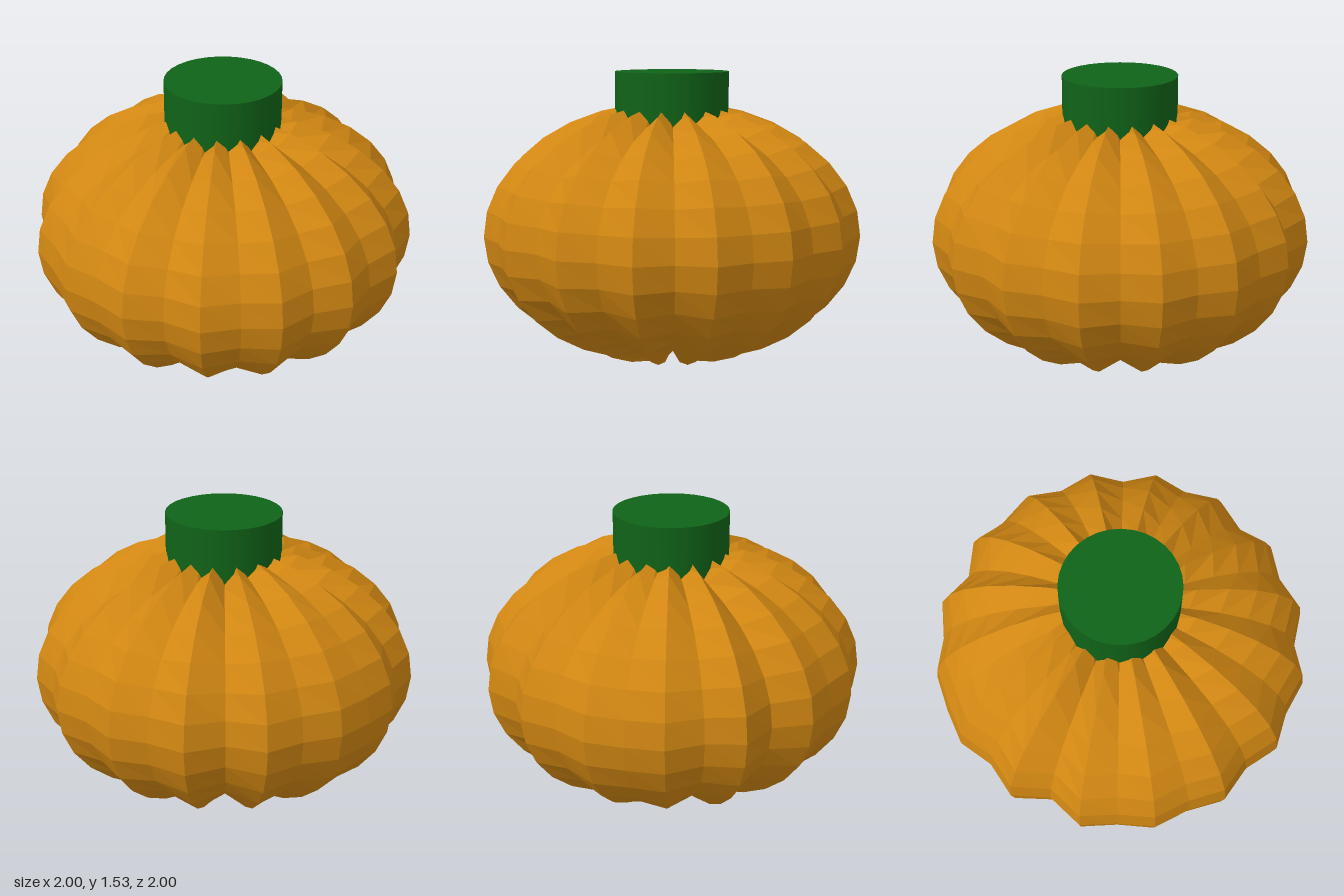
import * as THREE from 'three';

const COLUMNS = 32, ROWS = 16;
const CENTRE_Y = 0.69, HALF_HEIGHT = 0.69, PIT_Y = 0.35;

// Groove depth as a radius factor, one per groove, going from +x towards +z
const GROOVES = [0.96, 0.94, 0.95, 0.94, 0.96, 0.945, 0.965, 0.97,
  0.91, 0.945, 0.99, 0.96, 0.92, 0.96, 0.955, 0.95];

// Flattened sphere whose every second column is pulled in to form ribs
function ribbedBody() {
  const geometry = new THREE.SphereGeometry(1, COLUMNS, ROWS);
  const pos = geometry.attributes.position;
  for (let i = 0; i < pos.count; i++) {
    const column = (COLUMNS * 1.5 - (i % (COLUMNS + 1))) % COLUMNS;
    const row = Math.floor(i / (COLUMNS + 1));
    const y = pos.getY(i);
    if (row === 0 || row === ROWS) {
      // Both poles sink into a pit
      pos.setXYZ(i, 0, Math.sign(y) * (CENTRE_Y - PIT_Y) + CENTRE_Y, 0);
      continue;
    }
    // Grooves deepen a little towards the poles
    const k = column % 2 ? GROOVES[(column - 1) / 2] - 0.05 * y * y : 1;
    pos.setXYZ(i, pos.getX(i) * k, CENTRE_Y + y * HALF_HEIGHT * k, pos.getZ(i) * k);
  }
  geometry.computeVertexNormals();
  return geometry;
}

export function createModel() {
  const model = new THREE.Group();
  model.name = 'pumpkin';

  const body = new THREE.Mesh(
    ribbedBody(),
    new THREE.MeshStandardMaterial({ color: 0xd08612, flatShading: true })
  );
  body.name = 'ribbedBody';

  // Short round stem sunk into the top
  const stemBottom = 1.14, stemTop = 1.54;
  const stem = new THREE.Mesh(
    new THREE.CylinderGeometry(0.3, 0.3, stemTop - stemBottom, 32),
    new THREE.MeshStandardMaterial({ color: 0x106318 })
  );
  stem.name = 'stem';
  stem.position.y = (stemTop + stemBottom) / 2;

  model.add(body, stem);
  return model;
}
